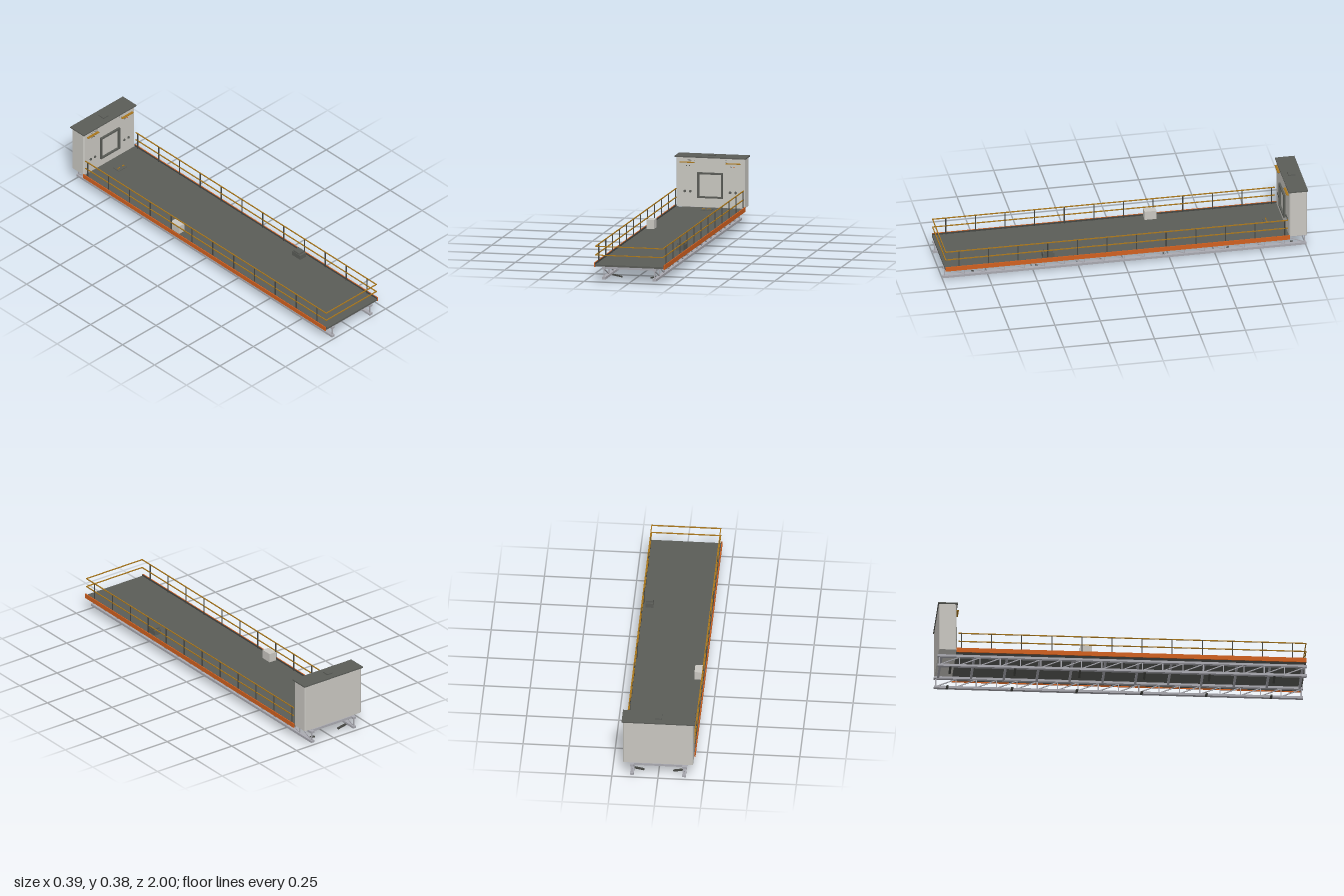
import * as THREE from 'three';

const paint = (name, color, extra = {}) => {
  const m = new THREE.MeshStandardMaterial({ color, ...extra });
  m.name = name;
  return m;
};

export function createModel() {
  const wall = paint('warmGrey', 0xc8c6c0);
  const dark = paint('darkGrey', 0x5a5c57);
  const post = paint('charcoal', 0x454642);
  const steel = paint('steelGrey', 0xa9a9b0);
  const orange = paint('orange', 0xd0601f);
  const gold = paint('ochre', 0xa8761c);

  const model = new THREE.Group();
  model.name = 'railedPlatform';
  const group = (name) => {
    const g = new THREE.Group();
    g.name = name;
    model.add(g);
    return g;
  };
  const add = (parent, name, geo, mat, x, y, z) => {
    const m = new THREE.Mesh(geo, mat);
    m.name = name;
    m.position.set(x, y, z);
    parent.add(m);
    return m;
  };
  // Box given by its lower and upper limits on each axis
  const box = (parent, name, mat, x0, x1, y0, y1, z0, z1) =>
    add(parent, name, new THREE.BoxGeometry(x1 - x0, y1 - y0, z1 - z0), mat,
      (x0 + x1) / 2, (y0 + y1) / 2, (z0 + z1) / 2);

  // Deck and side beams
  const deck = group('deck');
  box(deck, 'deckPlate', dark, -0.19, 0.19, 0.085, 0.095, -0.9, 0.995);
  for (const s of [-1, 1]) {
    add(deck, 'sideBeam', new THREE.BoxGeometry(0.005, 0.025, 1.895), orange, s * 0.1935, 0.0925, 0.0475);
    add(deck, 'toeBoard', new THREE.BoxGeometry(0.002, 0.009, 1.895), post, s * 0.19, 0.0995, 0.0475);
  }

  // Railings: posts, two side rails, and the rails across the front
  const railing = group('railing');
  for (const s of [-1, 1]) {
    for (let i = 0; i < 12; i++) {
      add(railing, 'railPost', new THREE.BoxGeometry(0.005, 0.1, 0.005), post, s * 0.187, 0.145, 0.92 - i * 0.163);
    }
    for (const y of [0.147, 0.195]) {
      add(railing, 'sideRail', new THREE.BoxGeometry(0.005, 0.005, 1.885), gold, s * 0.187, y, 0.0525);
    }
  }
  for (const y of [0.147, 0.195]) box(railing, 'frontRail', gold, -0.1895, 0.1895, y - 0.0025, y + 0.0025, 0.99, 0.995);

  // Trusses below the deck
  const truss = group('trusses');
  const bays = 18, bay = 1.98 / bays, rise = 0.046;
  const diagLen = Math.hypot(bay, rise);
  for (const s of [-1, 1]) {
    const x = s * 0.141;
    for (const y of [0.078, 0.022]) {
      add(truss, 'chord', new THREE.BoxGeometry(0.02, 0.013, 2), steel, x, y, 0);
    }
    for (let i = 0; i <= bays; i++) {
      const z = 0.99 - i * bay;
      add(truss, 'upright', new THREE.BoxGeometry(0.005, rise, 0.006), steel, x, 0.05, z);
      if (i < bays) {
        const d = add(truss, 'diagonal', new THREE.BoxGeometry(0.005, 0.005, diagLen), steel, x, 0.05, z - bay / 2);
        d.rotation.x = -Math.atan2(rise, bay);
      }
    }
    // Sloping foot bars
    for (let i = 0; i < 6; i++) {
      const foot = add(truss, 'footBar', new THREE.BoxGeometry(0.068, 0.007, 0.012), post, s * 0.112, 0.0105, 0.825 - i * 0.351);
      foot.rotation.z = s * 0.19;
    }
  }
  for (let i = 0; i < 12; i++) {
    const z = 0.98 - i * 0.178;
    box(truss, 'crossMember', steel, -0.132, 0.132, 0.072, 0.085, z - 0.006, z + 0.006);
  }

  // Cabin with chamfered upright corners
  const cabin = group('cabin');
  const w = 0.19, d = 0.048, c = 0.006;
  const plan = new THREE.Shape([
    [-w + c, -d], [w - c, -d], [w, -d + c], [w, d - c],
    [w - c, d], [-w + c, d], [-w, d - c], [-w, -d + c],
  ].map(([x, y]) => new THREE.Vector2(x, y)));
  const body = new THREE.ExtrudeGeometry(plan, { depth: 0.27, bevelEnabled: false });
  body.rotateX(-Math.PI / 2);
  add(cabin, 'cabinBody', body, wall, 0, 0.096, -0.947);
  box(cabin, 'roof', dark, -0.197, 0.197, 0.366, 0.373, -1, -0.893);
  box(cabin, 'roofHatch', dark, -0.018, 0.018, 0.373, 0.379, -0.966, -0.926);

  // Window frame
  const rect = (C, x, y0, y1) => new C([
    new THREE.Vector2(-x, y0), new THREE.Vector2(x, y0), new THREE.Vector2(x, y1), new THREE.Vector2(-x, y1),
  ]);
  const frame = rect(THREE.Shape, 0.071, 0.147, 0.287);
  frame.holes.push(rect(THREE.Path, 0.061, 0.156, 0.277));
  add(cabin, 'windowFrame', new THREE.ExtrudeGeometry(frame, { depth: 0.011, bevelEnabled: false }), dark, 0, 0, -0.899);

  // Front fittings, mirrored
  const disc = new THREE.CylinderGeometry(0.007, 0.007, 0.006, 20).rotateX(Math.PI / 2);
  for (const s of [-1, 1]) {
    add(cabin, 'lampBar', new THREE.BoxGeometry(0.082, 0.004, 0.014), gold, s * 0.128, 0.34, -0.893);
    for (const x of [0.11, 0.141]) add(cabin, 'roundPort', disc, dark, s * x, 0.181, -0.897);
    for (const x of [0.115, 0.132]) {
      const mat = s > 0 && x > 0.12 ? orange : dark;
      add(cabin, 'indicator', new THREE.BoxGeometry(0.006, 0.005, 0.003), mat, s * x, 0.321, -0.898);
    }
  }
  for (let i = 0; i < 3; i++) {
    const y = 0.347 + i * 0.004;
    box(cabin, 'ventSlot', dark, -0.133, -0.087, y, y + 0.0006, -0.8995, -0.8985);
    for (let k = 0; k < 5; k++) {
      const x = 0.073 + k * 0.005;
      box(cabin, 'ventHole', dark, x, x + 0.001, y, y + 0.001, -0.8995, -0.8985);
    }
  }

  // Deck hatch with two handles
  const hatch = group('deckHatch');
  box(hatch, 'hatchCover', dark, -0.03, 0.03, 0.095, 0.098, -0.845, -0.793);
  for (const x of [-0.017, 0.015]) {
    for (const e of [-1, 1]) box(hatch, 'handleLeg', gold, x + e * 0.0065 - 0.001, x + e * 0.0065 + 0.001, 0.097, 0.106, -0.81, -0.806);
    box(hatch, 'handleBar', gold, x - 0.0075, x + 0.0075, 0.104, 0.106, -0.81, -0.806);
  }

  // Boxes standing on the deck
  const boxes = group('deckBoxes');
  box(boxes, 'lightCabinet', wall, -0.18, -0.139, 0.095, 0.145, -0.23, -0.165);
  box(boxes, 'darkBoxBase', dark, 0.132, 0.174, 0.095, 0.122, 0.39, 0.455);
  box(boxes, 'darkBoxTop', dark, 0.134, 0.172, 0.122, 0.132, 0.4, 0.445);

  return model;
}
